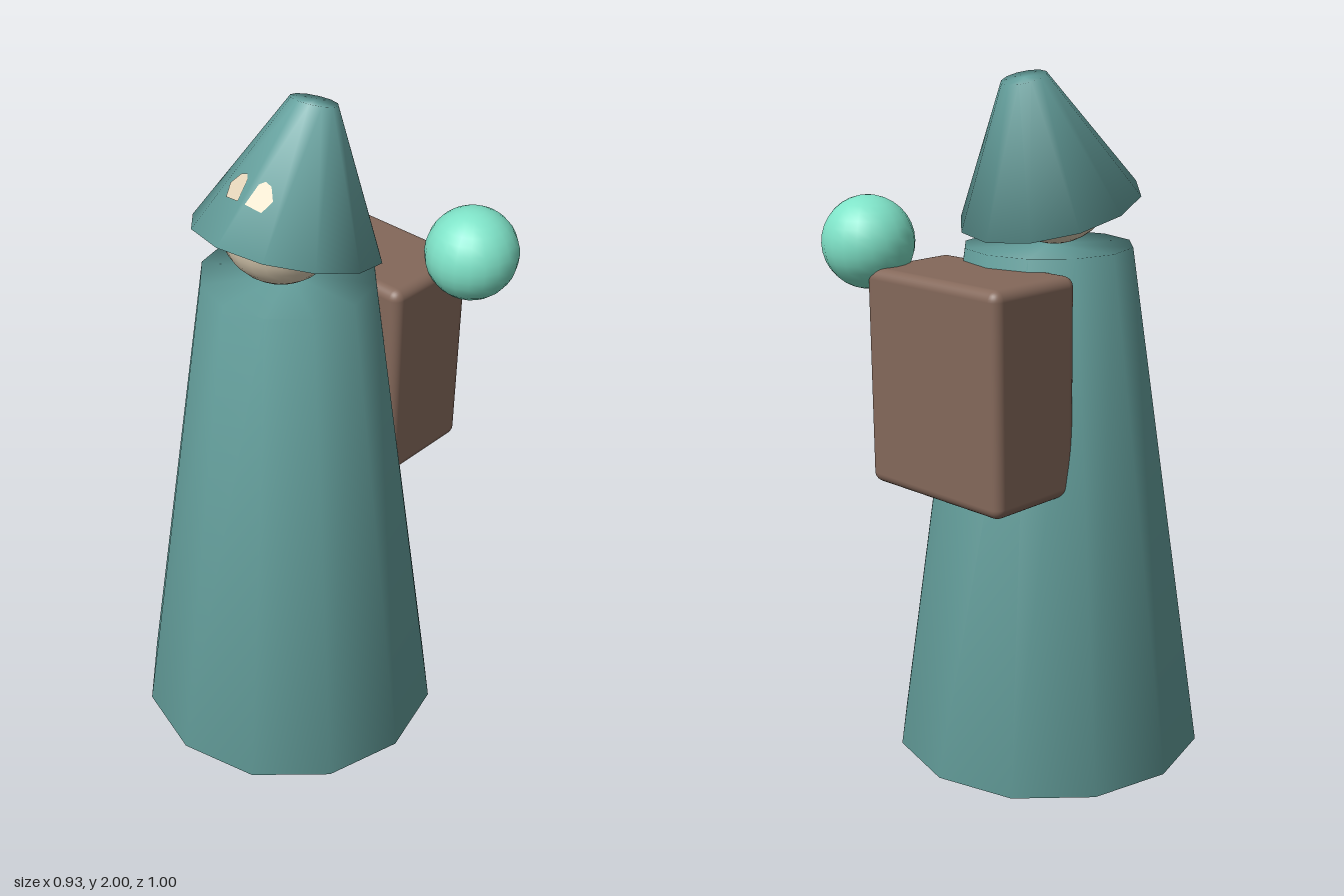
import * as THREE from 'three';
import { mergeVertices } from 'three/addons/utils/BufferGeometryUtils.js';
import { RoundedBoxGeometry } from 'three/addons/geometries/RoundedBoxGeometry.js';

const material = (name, color, side = THREE.FrontSide) => {
  const m = new THREE.MeshStandardMaterial({ color, side });
  m.name = name;
  return m;
};

// Twelve-sided closed cone whose normals are smoothed across the caps too
function softCone(topRadius, baseRadius, height) {
  const g = new THREE.CylinderGeometry(topRadius, baseRadius, height, 12, 1);
  g.translate(0, height / 2, 0);
  g.deleteAttribute('uv');
  g.deleteAttribute('normal');
  const merged = mergeVertices(g, 1e-4);
  merged.computeVertexNormals();
  return merged;
}

export function createModel() {
  const model = new THREE.Group();
  model.name = 'hoodedTraveller';

  const cloth = material('teal cloth', 0x67a3a0);
  const skin = material('cream skin', 0xe2d3b8, THREE.DoubleSide);
  const leather = material('brown leather', 0x84685a);
  const glow = material('mint orb', 0x7fe3c8);

  const add = (parent, name, geometry, mat, x = 0, y = 0, z = 0) => {
    const mesh = new THREE.Mesh(geometry, mat);
    mesh.name = name;
    mesh.position.set(x, y, z);
    parent.add(mesh);
    return mesh;
  };

  // Body and head
  add(model, 'robe', softCone(0.245, 0.465, 1.515), cloth, 0, 0, 0.035);
  add(model, 'head', new THREE.SphereGeometry(0.168, 24, 18), skin, 0, 1.683, 0.06);

  // Hat, tipped backwards
  const baseR = 0.265, topR = 0.065, hatHeight = 0.375;
  const hat = new THREE.Group();
  hat.name = 'hat';
  hat.position.set(0, 1.6225, 0.04);
  hat.rotation.x = -0.28;
  model.add(hat);
  add(hat, 'hatCone', softCone(topR, baseR, hatHeight), cloth);

  // Eyes: thin plates lying on the two front facets of the hat
  const apothem = Math.cos(Math.PI / 12);
  const slope = Math.atan((baseR - topR) * apothem / hatHeight);
  const eyeHeight = 0.1415;
  const outline = [[-0.04, -0.03], [-0.025, 0.03], [-0.01, 0.042], [0.01, 0.035], [0.03, 0], [0.012, -0.037]];
  for (const side of [1, -1]) {
    const facet = new THREE.Group();
    facet.name = side > 0 ? 'leftEye' : 'rightEye';
    facet.rotation.y = side * Math.PI / 12;
    hat.add(facet);
    const points = outline.map(([x, y]) => new THREE.Vector2(side * x, y));
    const plate = add(facet, 'eyePlate', new THREE.ShapeGeometry(new THREE.Shape(points)), skin);
    const radius = (baseR - (baseR - topR) * eyeHeight / hatHeight) * apothem;
    plate.position.set(0, eyeHeight, radius + 0.003);
    plate.rotation.x = -slope;
  }

  // Backpack and the orb at its upper corner
  add(model, 'backpack', new RoundedBoxGeometry(0.51, 0.62, 0.31, 4, 0.03), leather, 0, 1.17, -0.28);
  add(model, 'orb', new THREE.SphereGeometry(0.131, 20, 16), glow, 0.31, 1.536, -0.369);

  return model;
}
